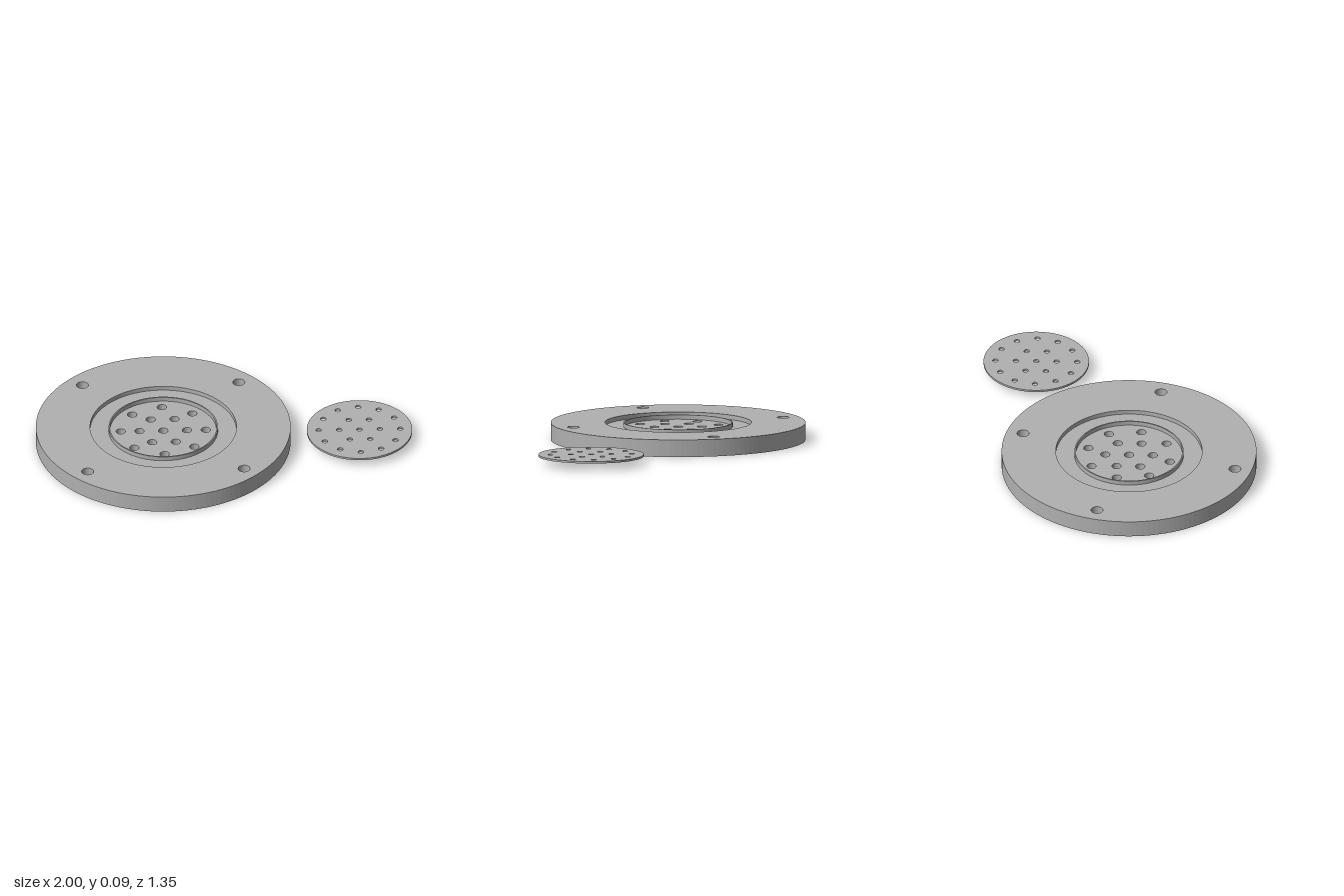
import * as THREE from 'three';

// Points evenly spaced on a circle
function ring(count, radius, start = 0) {
  return Array.from({ length: count }, (_, i) => {
    const a = start + (i / count) * Math.PI * 2;
    return [Math.cos(a) * radius, Math.sin(a) * radius];
  });
}

// Round plate from y0 to y1 with circular holes given as [x, z, radius]
function plate(name, radius, y0, y1, holes, material) {
  const shape = new THREE.Shape().absarc(0, 0, radius, 0, Math.PI * 2, false);
  for (const [x, z, r] of holes) {
    shape.holes.push(new THREE.Path().absarc(x, z, r, 0, Math.PI * 2, true));
  }
  const geometry = new THREE.ExtrudeGeometry(shape, {
    depth: y1 - y0, bevelEnabled: false, curveSegments: 72,
  });
  geometry.rotateX(-Math.PI / 2).translate(0, y0, 0);
  const mesh = new THREE.Mesh(geometry, material);
  mesh.name = name;
  return mesh;
}

export function createModel() {
  const metal = new THREE.MeshStandardMaterial({ color: 0xb0b0b0 });
  metal.name = 'grey metal';

  const top = 0.092, floor = 0.068;
  const sized = (points, r) => points.map(([x, z]) => [x, z, r]);
  const boltHoles = sized(ring(4, 0.588, Math.PI / 4), 0.032);
  const drainHoles = sized([[0, 0], ...ring(6, 0.126), ...ring(8, 0.226)], 0.025);

  // Flange: drilled base, raised outer ring and thin inner lip
  const flange = new THREE.Group();
  flange.name = 'flange';
  flange.position.x = -0.323;
  flange.add(
    plate('flangeBase', 0.677, 0, floor, [...boltHoles, ...drainHoles], metal),
    plate('outerRing', 0.677, floor, top, [...boltHoles, [0, 0, 0.389]], metal),
    plate('innerLip', 0.29, floor, top, [[0, 0, 0.283]], metal),
  );

  // Separate thin perforated disc
  const discHoles = sized([[0, 0], ...ring(6, 0.108), ...ring(12, 0.217)], 0.015);
  const disc = plate('perforatedDisc', 0.28, 0.041, 0.052, discHoles, metal);
  disc.position.x = 0.72;

  const model = new THREE.Group();
  model.name = 'flangeAndDisc';
  model.add(flange, disc);
  return model;
}
